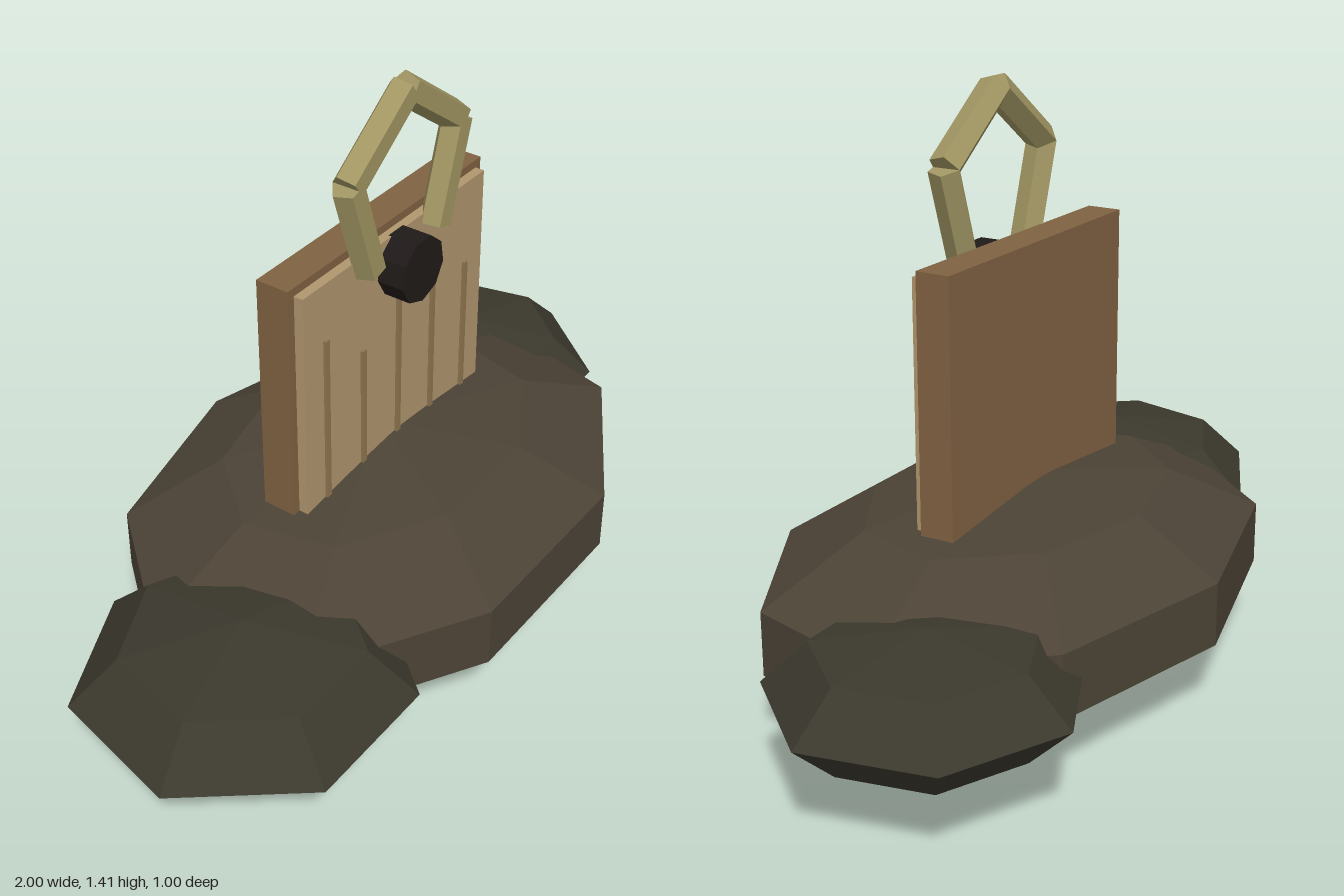
import * as THREE from 'three';

const CX = 0.035; // shared centre line of board, handle and main rock

function part(name, geometry, color, x, y, z) {
  const material = new THREE.MeshStandardMaterial({ color, flatShading: true });
  const mesh = new THREE.Mesh(geometry, material);
  mesh.name = name;
  mesh.position.set(x, y, z);
  return mesh;
}

// Flattened faceted boulder with one corner pointing to the back
function rock(name, sides, rings, radii, color, x, y, z) {
  const geometry = new THREE.SphereGeometry(1, sides, rings, -Math.PI / 2);
  geometry.scale(...radii);
  return part(name, geometry, color, x, y, z);
}

// Five-sided bar between two points in the xy plane, flat face to the front
function bar(name, a, b, z, color) {
  const d = b.clone().sub(a);
  const geometry = new THREE.CylinderGeometry(0.0375, 0.0375, d.length(), 5, 1, false, Math.PI);
  const mesh = part(name, geometry, color, (a.x + b.x) / 2, (a.y + b.y) / 2, z);
  mesh.rotation.z = Math.atan2(d.y, d.x) - Math.PI / 2;
  return mesh;
}

export function createModel() {
  const model = new THREE.Group();
  model.name = 'boardInRocks';

  // Rocks around the base
  model.add(
    rock('mainRock', 9, 5, [0.773, 0.244, 0.542], 0x4c4336, CX, 0.2525, 0.0155),
    rock('rightRock', 7, 4, [0.386, 0.153, 0.384], 0x3b382d, -0.624, 0.257, 0.129),
    rock('leftRock', 7, 4, [0.351, 0.138, 0.3445], 0x3b382d, 0.657, 0.255, -0.1455)
  );

  // Upright board with a lighter front panel
  model.add(
    part('board', new THREE.BoxGeometry(0.73, 1.05, 0.083), 0x806242, CX, 0.525, 0),
    part('frontPanel', new THREE.BoxGeometry(0.69, 1.01, 0.04), 0xb0966e, CX, 0.525, 0.045)
  );

  // Thin grain strips of differing height
  const strips = new THREE.Group();
  strips.name = 'grainStrips';
  [0.89, 0.79, 0.9, 0.84, 0.82].forEach((top, i) => {
    const bottom = 0.2;
    strips.add(part('grainStrip', new THREE.BoxGeometry(0.014, top - bottom, 0.012),
      0x8f7650, CX + (i - 2) * 0.1355, (top + bottom) / 2, 0.066));
  });
  model.add(strips);

  // Pentagon handle, open at the bottom
  const handle = new THREE.Group();
  handle.name = 'handle';
  const corners = [-2, -1, 0, 1, 2].map((i) => {
    const t = (i * Math.PI * 2) / 5;
    return new THREE.Vector2(CX + 0.212 * Math.sin(t), 1.168 + 0.212 * Math.cos(t));
  });
  for (let i = 0; i < 4; i++) {
    handle.add(bar('handleBar', corners[i], corners[i + 1], 0.0745, 0xa09562));
  }
  model.add(handle);

  // Round knob below the handle
  const knob = part('knob', new THREE.CylinderGeometry(0.08, 0.08, 0.075, 9), 0x1f1a18, CX, 0.955, 0.0945);
  knob.rotation.x = Math.PI / 2;
  model.add(knob);

  return model;
}
